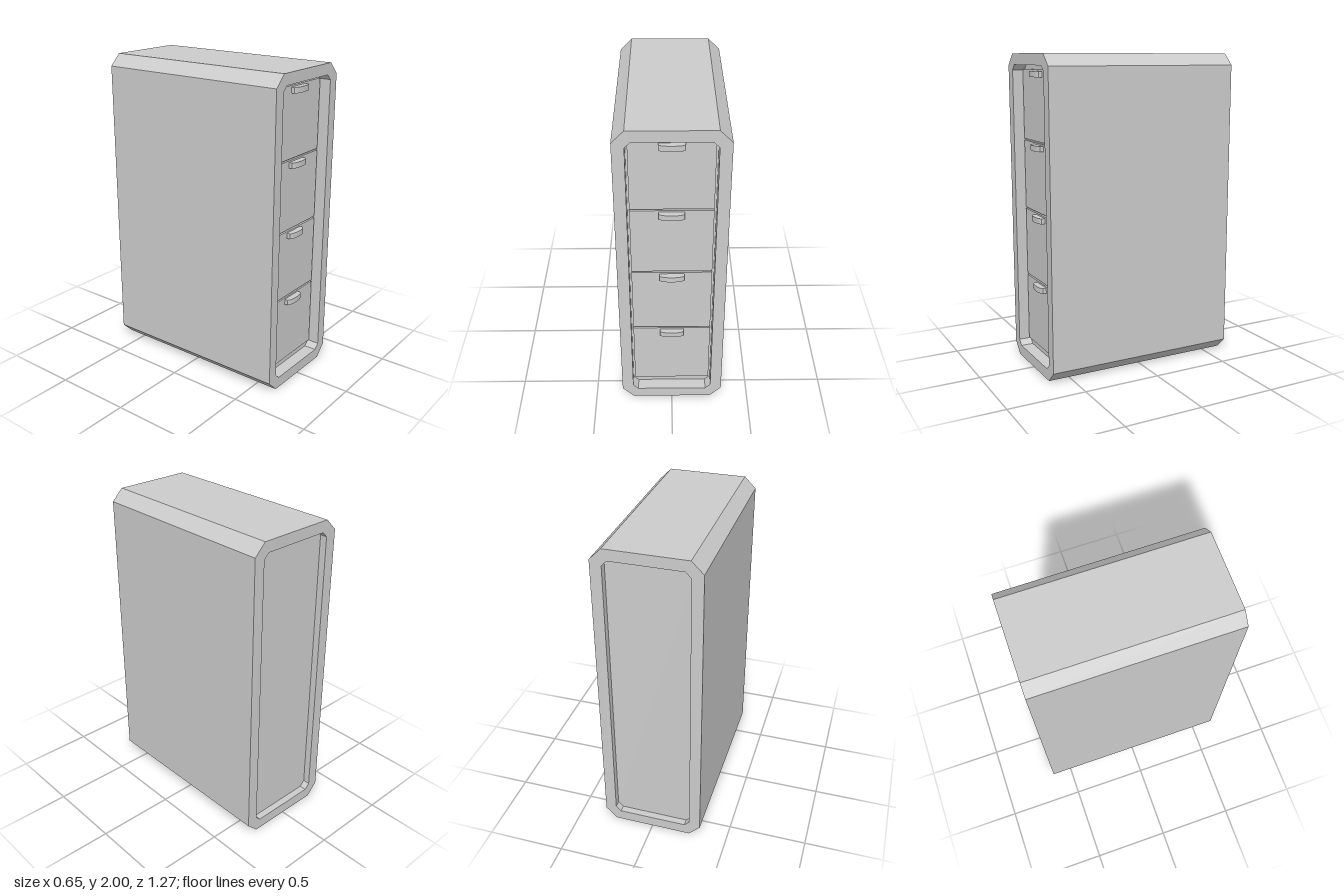
import * as THREE from 'three';

const material = new THREE.MeshStandardMaterial({ color: 0xcccccc, flatShading: true });
const smooth = new THREE.MeshStandardMaterial({ color: 0xcccccc });

// Upright rectangle with cut corners, centred on y = 1
function octagon(Target, halfW, halfH, cut) {
  const x = halfW, y0 = 1 - halfH, y1 = 1 + halfH;
  return new Target([
    [-x + cut, y0], [x - cut, y0], [x, y0 + cut], [x, y1 - cut],
    [x - cut, y1], [-x + cut, y1], [-x, y1 - cut], [-x, y0 + cut],
  ].map(([px, py]) => new THREE.Vector2(px, py)));
}

// Extrude a shape between two z positions
function slab(name, shape, z0, z1) {
  const geo = new THREE.ExtrudeGeometry(shape, { depth: z1 - z0, bevelEnabled: false });
  geo.translate(0, 0, z0);
  const mesh = new THREE.Mesh(geo, material);
  mesh.name = name;
  return mesh;
}

export function createModel() {
  const model = new THREE.Group();
  model.name = 'drawerCabinet';
  const halfD = 0.635, drawerZ = 0.57;

  // Chamfered shell, open at front and back
  const shell = octagon(THREE.Shape, 0.325, 1, 0.073);
  shell.holes.push(octagon(THREE.Path, 0.254, 0.93, 0.033));
  model.add(slab('shell', shell, -halfD, halfD));

  // Core behind the drawers, ending in the recessed back panel
  model.add(slab('core', octagon(THREE.Shape, 0.254, 0.93, 0.033), -0.59, drawerZ - 0.015));

  // Handle plan: short straight ends and a bowed front
  const plan = new THREE.Shape();
  plan.moveTo(-0.075, 0);
  plan.lineTo(-0.075, -0.022);
  plan.bezierCurveTo(-0.06, -0.045, 0.06, -0.045, 0.075, -0.022);
  plan.lineTo(0.075, 0);
  const handleGeo = new THREE.ExtrudeGeometry(plan, { depth: 0.035, bevelEnabled: false, curveSegments: 12 });
  handleGeo.rotateX(-Math.PI / 2);

  // Four drawers with a pull at the top of each
  for (let i = 0; i < 4; i++) {
    const top = 1.903 - i * 0.45;
    const drawer = new THREE.Group();
    drawer.name = `drawer${i + 1}`;
    const front = new THREE.Mesh(new THREE.BoxGeometry(0.486, 0.44, 0.03), material);
    front.name = 'drawerFront';
    front.position.set(0, top - 0.22, drawerZ - 0.015);
    const handle = new THREE.Mesh(handleGeo, smooth);
    handle.name = 'drawerHandle';
    handle.position.set(0, top - 0.045, drawerZ);
    drawer.add(front, handle);
    model.add(drawer);
  }
  return model;
}
